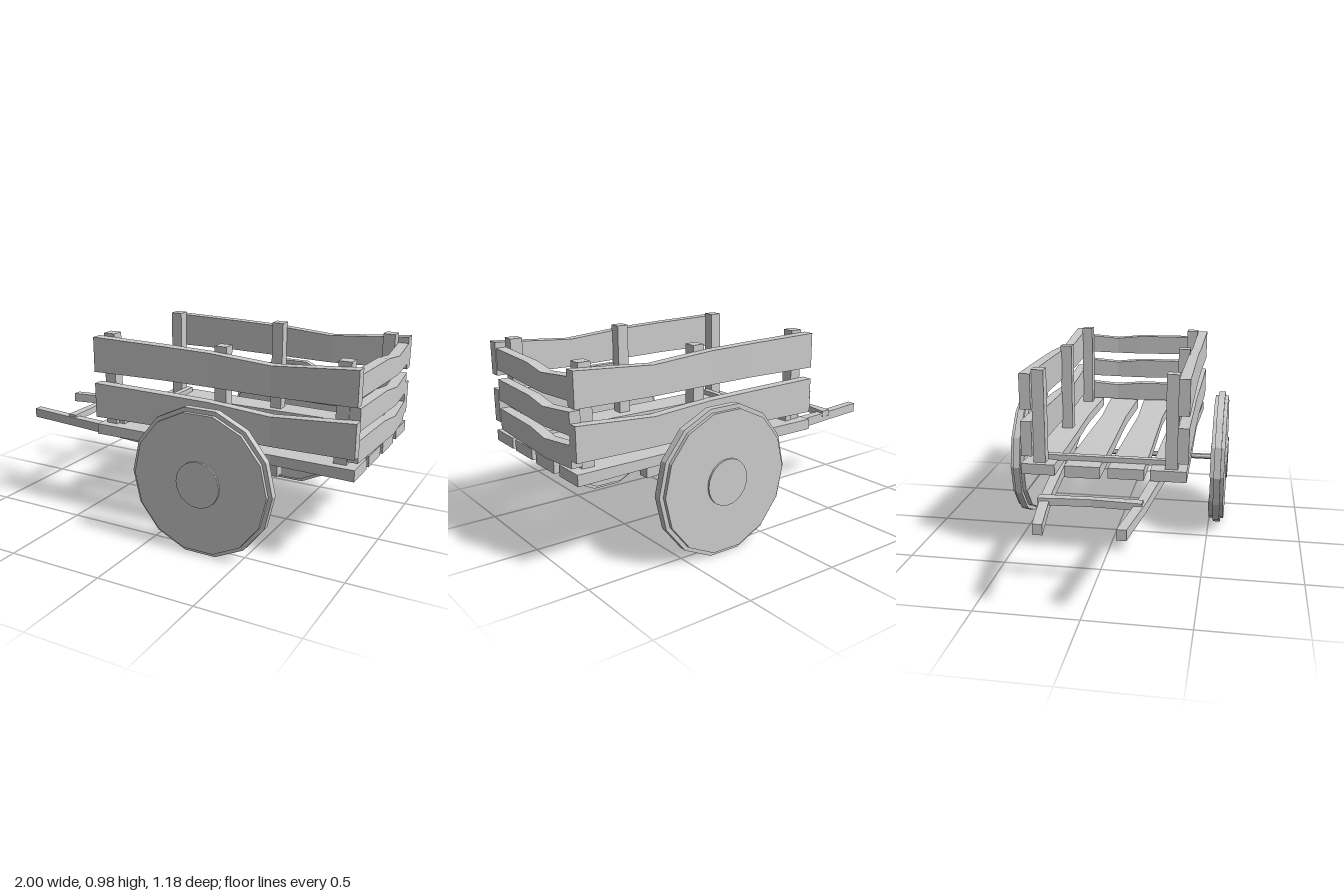
import * as THREE from 'three';

const material = new THREE.MeshStandardMaterial({ color: 0xcccccc, flatShading: true });

function addMesh(parent, geometry, name) {
  const mesh = new THREE.Mesh(geometry, material);
  mesh.name = name;
  parent.add(mesh);
  return mesh;
}

// Hewn timber running along x; each section is [x, yLow, yHigh, zLow, zHigh]
function timber(sections) {
  const rings = sections.map(([x, y0, y1, z0, z1]) => [[x, y0, z0], [x, y1, z0], [x, y1, z1], [x, y0, z1]]);
  const points = [];
  const quad = (a, b, c, d) => points.push(...a, ...b, ...c, ...a, ...c, ...d);
  for (let s = 0; s < rings.length - 1; s++) {
    const a = rings[s], b = rings[s + 1];
    for (let i = 0; i < 4; i++) quad(a[i], a[(i + 1) % 4], b[(i + 1) % 4], b[i]);
  }
  const first = rings[0], last = rings[rings.length - 1];
  quad(first[3], first[2], first[1], first[0]);
  quad(...last);
  const geometry = new THREE.BufferGeometry();
  geometry.setAttribute('position', new THREE.Float32BufferAttribute(points, 3));
  geometry.computeVertexNormals();
  return geometry;
}

function box(parent, name, x0, x1, y0, y1, z0, z1) {
  const mesh = addMesh(parent, new THREE.BoxGeometry(x1 - x0, y1 - y0, z1 - z0), name);
  mesh.position.set((x0 + x1) / 2, (y0 + y1) / 2, (z0 + z1) / 2);
}

// Slice of a 14-sided disc between two heights
function discSlice(radius, low, high) {
  let poly = [];
  for (let i = 0; i < 14; i++) {
    const a = ((i + 0.5) / 14) * Math.PI * 2;
    poly.push([Math.sin(a) * radius, -Math.cos(a) * radius]);
  }
  for (const [limit, sign] of [[low, 1], [high, -1]]) {
    const kept = [];
    poly.forEach((p, i) => {
      const q = poly[(i + 1) % poly.length];
      const dp = (p[1] - limit) * sign, dq = (q[1] - limit) * sign;
      if (dp >= 0) kept.push(p);
      if (dp * dq < 0) kept.push([p[0] + ((q[0] - p[0]) * dp) / (dp - dq), limit]);
    });
    poly = kept;
  }
  return new THREE.Shape(poly.map(([x, y]) => new THREE.Vector2(x, y)));
}

function createWheel(name) {
  const wheel = new THREE.Group();
  wheel.name = name;
  // Rim
  const rim = new THREE.CylinderGeometry(0.373, 0.373, 0.036, 14, 1, false, Math.PI / 14);
  addMesh(wheel, rim.rotateX(Math.PI / 2), 'rim');
  // Planks across the rim, uneven on the inner side
  const planks = [[-0.4, -0.155, 0.043], [-0.155, 0.0, 0.037], [0.0, 0.155, 0.039], [0.155, 0.4, 0.036]];
  for (const [low, high, inner] of planks) {
    const geometry = new THREE.ExtrudeGeometry(discSlice(0.352, low, high), { depth: 0.0365 + inner, bevelEnabled: false });
    addMesh(wheel, geometry.translate(0, 0, -inner), 'wheelPlank');
  }
  // Hub cap
  const hub = new THREE.CylinderGeometry(0.115, 0.115, 0.02, 24);
  addMesh(wheel, hub.rotateX(Math.PI / 2).translate(0, 0, 0.036), 'hub');
  return wheel;
}

export function createModel() {
  const cart = new THREE.Group();
  cart.name = 'handCart';

  // Floor boards, narrowing toward the rear
  [[-0.42, -0.25, 0.455], [-0.2, -0.02, 0.45], [0.02, 0.2, 0.455], [0.23, 0.41, 0.455]].forEach(([z0, z1, y0]) => {
    addMesh(cart, timber([
      [-0.405, y0, 0.51, z0, z1],
      [0.0, y0, 0.507, z0 + 0.005, z1 - 0.005],
      [0.57, y0, 0.505, z0 + 0.016, z1 - 0.016],
      [0.985, y0, 0.51, z0, z1],
    ]), 'floorBoard');
  });

  // Batten across the open end of the bed
  box(cart, 'floorBatten', -0.315, -0.28, 0.505, 0.535, -0.37, 0.345);

  for (const side of [1, -1]) {
    const across = (a, b) => (side > 0 ? [a, b] : [-b, -a]);

    // Side planks
    for (const y of [0.55, 0.79]) {
      addMesh(cart, timber([
        [-0.405, y, y + 0.18, ...across(0.362, 0.418)],
        [0.0, y + 0.006, y + 0.174, ...across(0.36, 0.414)],
        [0.25, y + 0.004, y + 0.168, ...across(0.358, 0.41)],
        [0.57, y, y + 0.145, ...across(0.357, 0.408)],
        [0.985, y + 0.01, y + 0.177, ...across(0.362, 0.418)],
      ]), 'sidePlank');
    }

    // Upright posts
    for (const x of [-0.345, 0.29, 0.9]) {
      box(cart, 'post', x - 0.031, x + 0.031, 0.5, 0.985, ...across(0.302, 0.364));
    }

    // Pulling shaft, spreading toward the rear under the floor
    addMesh(cart, timber([
      [-1.0, 0.4, 0.45, ...across(0.16, 0.205)],
      [-0.68, 0.405, 0.452, ...across(0.203, 0.25)],
      [-0.4, 0.4, 0.452, ...across(0.225, 0.275)],
      [0.1, 0.393, 0.453, ...across(0.265, 0.325)],
      [0.6, 0.393, 0.456, ...across(0.315, 0.375)],
    ]), 'shaft');

    const wheel = createWheel(side > 0 ? 'leftSideWheel' : 'rightSideWheel');
    wheel.position.set(0.29, 0.367, side * 0.5465);
    if (side < 0) wheel.rotation.y = Math.PI;
    cart.add(wheel);
  }

  // Boards closing the rear end, modelled along x and turned
  for (const y of [0.52, 0.67, 0.825]) {
    const board = addMesh(cart, timber([
      [-0.36, y + 0.005, y + 0.112, 0.93, 0.982],
      [0.0, y - 0.003, y + 0.107, 0.938, 0.992],
      [0.15, y - 0.003, y + 0.09, 0.945, 1.0],
      [0.37, y + 0.003, y + 0.11, 0.932, 0.985],
    ]), 'endBoard');
    board.rotation.y = Math.PI / 2;
  }

  // Crossbar between the shafts
  const crossbar = addMesh(cart, timber([
    [-0.235, 0.43, 0.465, -0.735, -0.685],
    [0.0, 0.432, 0.468, -0.728, -0.69],
    [0.12, 0.432, 0.468, -0.735, -0.695],
    [0.25, 0.43, 0.465, -0.74, -0.685],
  ]), 'crossbar');
  crossbar.rotation.y = Math.PI / 2;

  // Axle
  const axle = new THREE.CylinderGeometry(0.016, 0.016, 1.04, 10);
  addMesh(cart, axle.rotateX(Math.PI / 2), 'axle').position.set(0.29, 0.367, 0);

  return cart;
}
